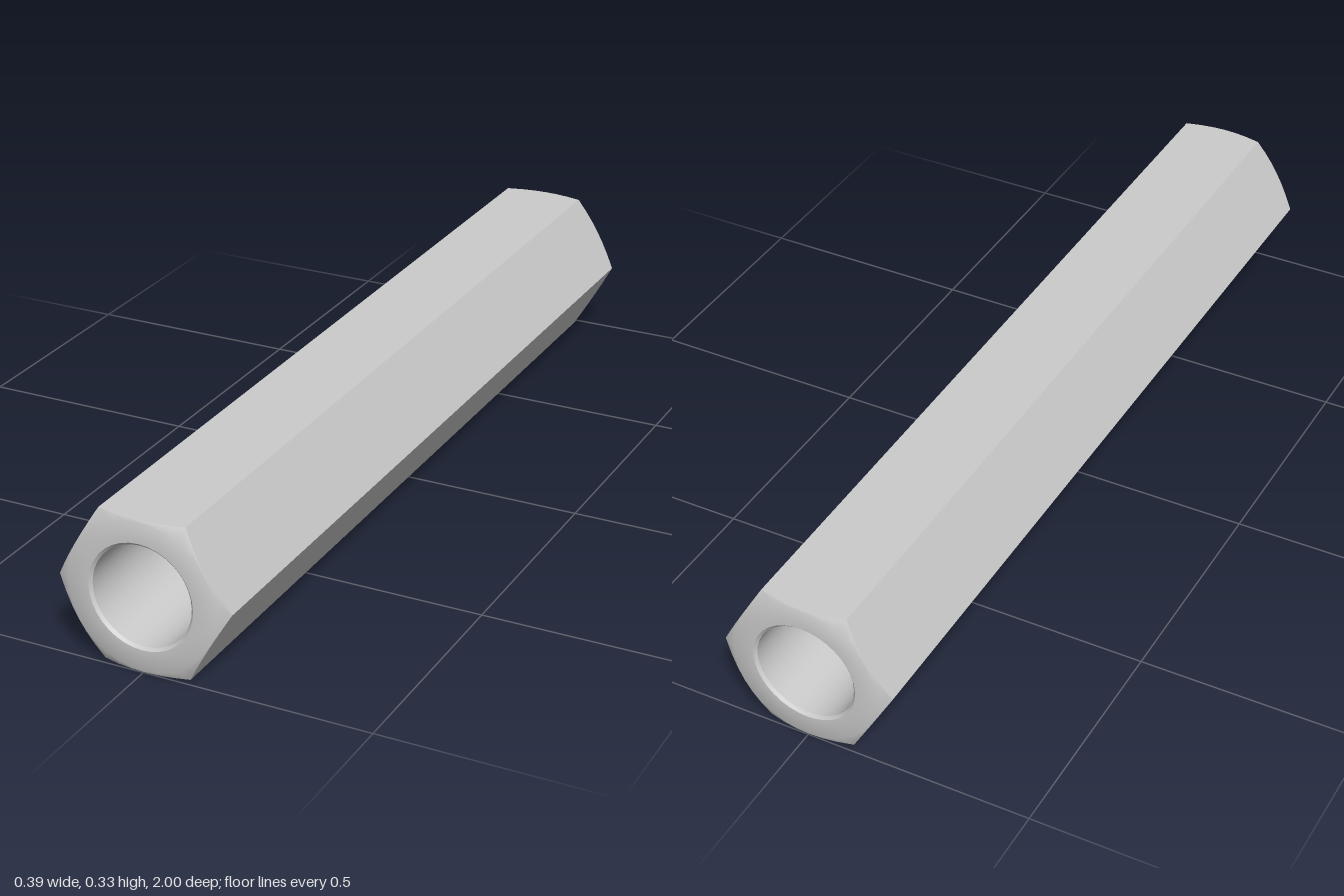
import * as THREE from 'three';
import { toCreasedNormals } from 'three/addons/utils/BufferGeometryUtils.js';

const APOTHEM = 0.167;      // centre to flat
const HALF = 1;             // half length
const BORE = 0.111;
const RIM = 0.117;          // countersunk mouth of the bore
const DEPTH = 0.6;          // depth of each blind bore
const SEGMENTS = 36;        // multiple of six, so corners fall on vertices

// Distance from the axis to the hexagon's outline
function hexRadius(angle) {
  const sector = Math.PI / 3;
  return APOTHEM / Math.cos((angle % sector) - sector / 2);
}

// Half profile at one angle, from bore floor to outer edge: [radius, z]
function endProfile(angle) {
  const outer = hexRadius(angle);
  const flat = APOTHEM - 0.003;
  return [
    [0, HALF - DEPTH],
    [BORE, HALF - DEPTH],
    [BORE, HALF - (RIM - BORE)],
    [RIM, HALF],
    [flat, HALF],
    [outer, HALF - (outer - flat) * Math.tan(Math.PI / 6)], // conical corner chamfer
  ];
}

function hexBodyGeometry() {
  const columns = [];
  for (let j = 0; j < SEGMENTS; j++) {
    const angle = (j / SEGMENTS) * Math.PI * 2;
    const front = endProfile(angle);
    const back = front.map(([r, z]) => [r, -z]).reverse();
    columns.push([...front, ...back].map(([r, z]) =>
      new THREE.Vector3(r * Math.cos(angle), r * Math.sin(angle), z)));
  }

  const points = [];
  const rings = columns[0].length;
  for (let j = 0; j < SEGMENTS; j++) {
    const a = columns[j];
    const b = columns[(j + 1) % SEGMENTS];
    for (let i = 0; i < rings - 1; i++) {
      if (i < rings - 2) points.push(a[i], a[i + 1], b[i + 1]);
      else points.push(a[i], a[i + 1], b[i]);
      if (i > 0 && i < rings - 2) points.push(a[i], b[i + 1], b[i]);
    }
  }
  const geometry = new THREE.BufferGeometry().setFromPoints(points);
  return toCreasedNormals(geometry, 0.6);
}

export function createModel() {
  const group = new THREE.Group();
  group.name = 'hexStandoff';

  // Hexagonal bar with chamfered ends and a blind bore at each end
  const body = new THREE.Mesh(
    hexBodyGeometry(),
    new THREE.MeshStandardMaterial({ color: 0xcccccc }),
  );
  body.name = 'hexBody';
  body.position.y = APOTHEM;
  group.add(body);

  return group;
}
